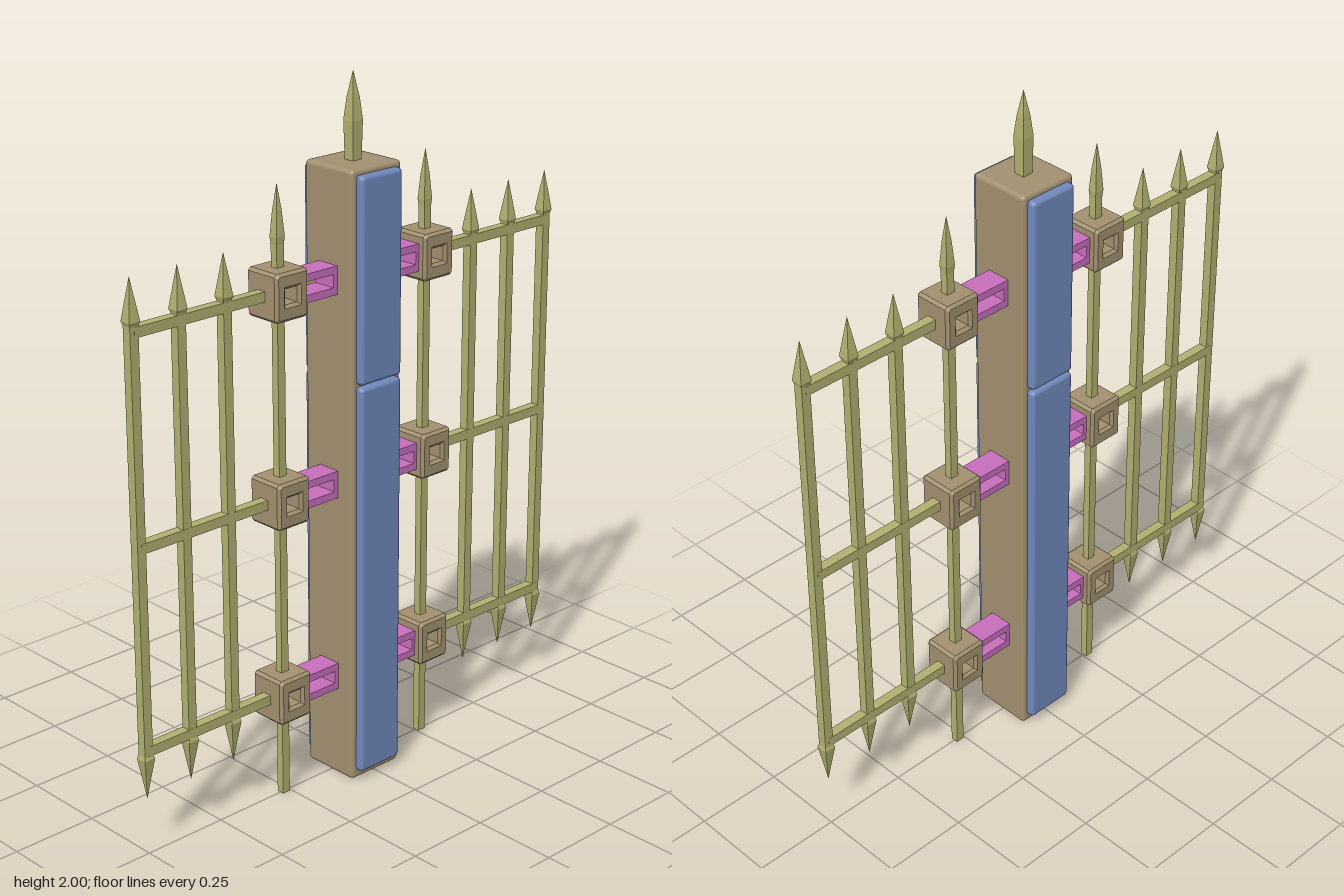
import * as THREE from 'three';
import { RoundedBoxGeometry } from 'three/addons/geometries/RoundedBoxGeometry.js';

const material = (color, flatShading = false) => {
  const m = new THREE.MeshStandardMaterial({ color });
  m.flatShading = flatShading;
  return m;
};

export function createModel() {
  const model = new THREE.Group();
  model.name = 'gatePost';
  const stone = material(0xa39170), stoneFlat = material(0xa39170, true);
  const iron = material(0xb3b070, true);
  const blue = material(0x7089bd), pink = material(0xc76ebd, true);

  const add = (parent, name, geometry, mat, x = 0, y = 0, z = 0) => {
    const mesh = new THREE.Mesh(geometry, mat);
    mesh.name = name;
    mesh.position.set(x, y, z);
    parent.add(mesh);
    return mesh;
  };

  // Square bar turned from a profile of [half width, height], bottom to top
  const squareBar = (profile) => new THREE.LatheGeometry(
    profile.map(([h, y]) => new THREE.Vector2(h * Math.SQRT2, y)), 4, Math.PI / 4);

  // Rectangle with cut corners, in the z-y plane once extruded along x
  const rectangle = (path, w, h, cut) => {
    const a = w / 2, b = h / 2;
    const corners = cut
      ? [[-a + cut, -b], [a - cut, -b], [a, -b + cut], [a, b - cut],
        [a - cut, b], [-a + cut, b], [-a, b - cut], [-a, -b + cut]]
      : [[-a, -b], [a, -b], [a, b], [-a, b]];
    path.setFromPoints(corners.map(([x, y]) => new THREE.Vector2(x, y)));
    return path;
  };

  // Rectangular frame with a hole running along x
  const frame = (w, h, holeW, holeH, depth, bevel) => {
    const shape = rectangle(new THREE.Shape(), w, h, bevel);
    shape.holes.push(rectangle(new THREE.Path(), holeW, holeH, 0));
    const geometry = new THREE.ExtrudeGeometry(shape, {
      depth: depth - 2 * bevel, bevelEnabled: bevel > 0, bevelSegments: 1,
      bevelSize: bevel, bevelThickness: bevel, bevelOffset: -bevel,
    });
    return geometry.translate(0, 0, bevel - depth / 2).rotateY(Math.PI / 2);
  };

  // Central post with its finial
  add(model, 'post', new RoundedBoxGeometry(0.18, 1.76, 0.18, 2, 0.012), stone, 0, 0.885, 0);
  add(model, 'postFinial', squareBar([[0, 1.74], [0.015, 1.74], [0.018, 1.87], [0.012, 1.93], [0, 2]]), iron);

  // Raised panels on both sides
  for (const side of [-1, 1]) {
    for (const [bottom, top] of [[0.03, 1.176], [1.182, 1.75]]) {
      add(model, 'sidePanel', new RoundedBoxGeometry(0.05, top - bottom, 0.148, 2, 0.012),
        blue, side * 0.087, (bottom + top) / 2, 0);
    }
  }

  // One gate wing, built towards +z
  const levels = [0.313, 0.888, 1.463];
  const hingeZ = 0.268, wall = 0.045;
  const blockGeometry = frame(0.113, 0.132, 0.042, 0.042, 0.116, 0.008);
  const bracketGeometry = frame(0.13, 0.078, 0.096, 0.036, 0.07, 0);
  const railGeometry = new THREE.BoxGeometry(0.028, 0.028, 0.43);
  const picketGeometry = squareBar([
    [0, 0.17], [0.009, 0.235], [0.017, 0.29], [0.0135, 0.3],
    [0.0135, 1.48], [0.017, 1.49], [0.009, 1.545], [0, 1.605]]);

  const buildWing = () => {
    const wing = new THREE.Group();
    for (const y of levels) {
      add(wing, 'hingeBlock', blockGeometry, stoneFlat, 0, y, hingeZ);
      add(wing, 'hingeBracket', bracketGeometry, pink, 0, y, 0.152);
      add(wing, 'rail', railGeometry, iron, 0, y, 0.535);
    }
    for (const z of [0.45, 0.6, 0.75]) add(wing, 'picket', picketGeometry, iron, 0, 0, z);

    // Hinge rod, interrupted inside the open blocks
    const ends = [0.005, ...levels.flatMap((y) => [y - wall, y + wall])];
    for (let i = 0; i < ends.length; i += 2) {
      const bottom = ends[i], top = ends[i + 1];
      const h = 0.0125;
      const profile = top === undefined
        ? [[0, bottom], [h, bottom], [h, 1.59], [0.0145, 1.61], [0.009, 1.68], [0, 1.75]]
        : [[0, bottom], [h, bottom], [h, top], [0, top]];
      add(wing, 'hingeRod', squareBar(profile), iron, 0, 0, hingeZ).scale.x = 0.9;
    }
    return wing;
  };

  const frontWing = buildWing();
  frontWing.name = 'frontWing';
  const backWing = buildWing();
  backWing.name = 'backWing';
  backWing.rotation.y = Math.PI;
  model.add(frontWing, backWing);
  return model;
}
